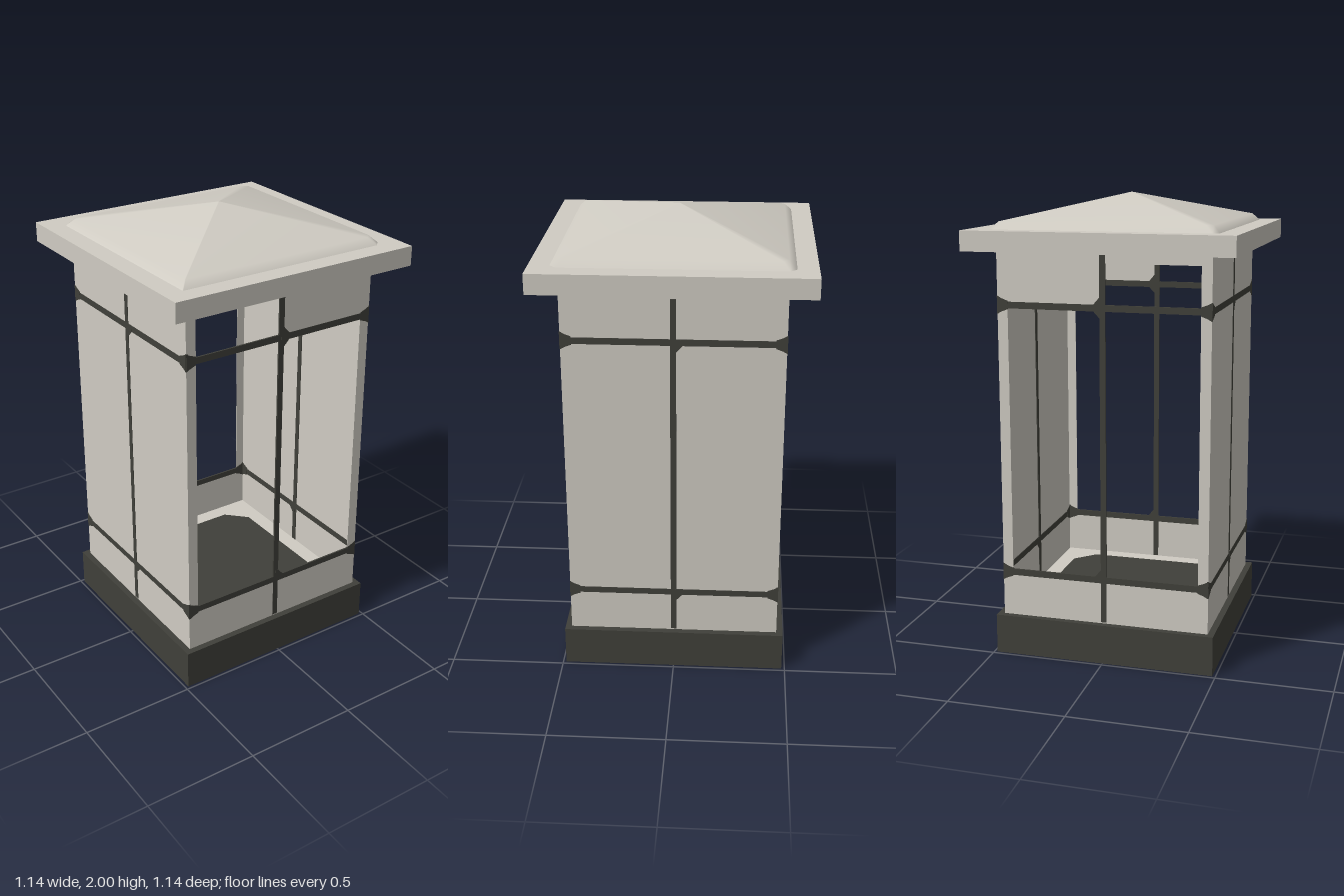
import * as THREE from 'three';

export function createModel() {
  const stone = new THREE.MeshStandardMaterial({ color: 0xd0ccc3 });
  stone.name = 'pale stone';
  const iron = new THREE.MeshStandardMaterial({ color: 0x40403a });
  iron.name = 'dark iron';
  const model = new THREE.Group();
  model.name = 'lanternColumn';

  // Box given by its minimum and maximum on each axis
  const box = (name, mat, x0, x1, y0, y1, z0, z1, parent = model) => {
    const mesh = new THREE.Mesh(new THREE.BoxGeometry(x1 - x0, y1 - y0, z1 - z0), mat);
    mesh.position.set((x0 + x1) / 2, (y0 + y1) / 2, (z0 + z1) / 2);
    mesh.name = name;
    parent.add(mesh);
  };

  // Flat outline extruded along z
  const plate = (name, mat, points, depth, parent) => {
    const shape = new THREE.Shape(points.map(([x, y]) => new THREE.Vector2(x, y)));
    const mesh = new THREE.Mesh(new THREE.ExtrudeGeometry(shape, { depth, bevelEnabled: false }), mat);
    mesh.name = name;
    parent.add(mesh);
    return mesh;
  };

  const W = 0.458, IN = W - 0.003, POST = 0.413;  // wall outside, inside, post edge
  const FLOOR = 0.175, EAVE = 1.775, HEADER = 1.73;
  const LOW = 0.372, HIGH = 1.547;                // heights of the metal bands

  // Base and floor
  box('base', iron, -0.486, 0.486, 0, FLOOR, -0.486, 0.486);
  box('floor', stone, -IN, IN, FLOOR, 0.178, -IN, IN);
  const c = 0.38, k = 0.29;
  const inset = plate('floorPlate', iron,
    [[-k, -c], [k, -c], [c, -k], [c, k], [k, c], [-k, c], [-c, k], [-c, -k]], 0.003, model);
  inset.rotation.x = -Math.PI / 2;
  inset.position.y = 0.178;

  // Thin walls: closed sides, front and back with a stepped opening
  for (const s of [-1, 1]) {
    const a = s < 0 ? -W : IN, b = s < 0 ? -IN : W;
    box(s < 0 ? 'rightWall' : 'leftWall', stone, a, b, FLOOR, EAVE, -IN, IN);
    const wall = plate(s < 0 ? 'backWall' : 'frontWall', stone, [
      [-W, FLOOR], [W, FLOOR], [W, EAVE], [-W, EAVE], [-W, HEADER], [-POST, HEADER],
      [0, HEADER], [0, HIGH], [POST, HIGH], [POST, LOW], [-POST, LOW], [-POST, HEADER], [-W, HEADER],
    ], W - IN, model);
    wall.position.z = a;
  }

  // Metal bands, centre bars and their joints, once for each side
  const out = W + 0.0015, inn = IN - 0.003;
  const cornerShape = [[W, 0.038], [0.44, 0.028], [POST, 0.018], [POST, -0.018], [0.44, -0.028], [W, -0.038]];
  ['front', 'left', 'back', 'right'].forEach((name, i) => {
    const frame = new THREE.Group();
    frame.name = name + 'Frame';
    frame.rotation.y = i * Math.PI / 2;
    model.add(frame);
    const open = i % 2 === 0;
    const dir = name === 'back' ? -1 : 1;
    box('centreBar', iron, -0.0125, 0.0125, 0.18, open ? 1.77 : HEADER, inn, out, frame);
    for (const y of [LOW, HIGH]) {
      box('band', iron, -W, W, y - 0.014, y + 0.014, inn, out, frame);
      // Flared ends at the corners
      for (const s of [-1, 1]) {
        const joint = plate('cornerJoint', iron, cornerShape.map(([x, h]) => [s * x, h]), out - inn + 0.001, frame);
        joint.position.set(0, y, inn - 0.0005);
      }
      // Gusset beside the centre bar
      const up = open ? 0.045 : 0.014, down = open && y === LOW ? 0.014 : 0.042;
      const gusset = plate('gusset', iron,
        [[0, -down], [0.012 * dir, -down], [0.042 * dir, -0.01], [0.042 * dir, 0.01], [0.012 * dir, up], [0, up]],
        out - inn + 0.001, frame);
      gusset.position.set(0, y, inn - 0.0005);
    }
  });

  // Roof slab
  box('roofSlab', stone, -0.572, 0.572, EAVE, 1.86, -0.572, 0.572);

  // Low smooth roof from square rings, three of its corners clipped
  const rings = [[0.487, 1.858, 0.028], [0.455, 1.89, 0.025], [0.002, 2, 0.0005]];
  const pos = [], index = [], n = 8;
  for (const [r, y, cut] of rings) {
    const m = r - cut, q = r - cut * 0.1;
    for (const [x, z] of [[m, r], [r, m], [r, -m], [m, -r], [-m, -r], [-r, -m], [-r, q], [-q, r]]) pos.push(x, y, z);
  }
  for (let j = 0; j < rings.length - 1; j++) {
    for (let i = 0; i < n; i++) {
      const a = j * n + i, b = j * n + (i + 1) % n;
      index.push(a, b, b + n, a, b + n, a + n);
    }
  }
  const top = (rings.length - 1) * n;
  for (let i = 1; i < n - 1; i++) index.push(top, top + i, top + i + 1);
  const geo = new THREE.BufferGeometry();
  geo.setAttribute('position', new THREE.Float32BufferAttribute(pos, 3));
  geo.setIndex(index);
  geo.computeVertexNormals();
  const roof = new THREE.Mesh(geo, stone);
  roof.name = 'roofCap';
  model.add(roof);

  return model;
}
